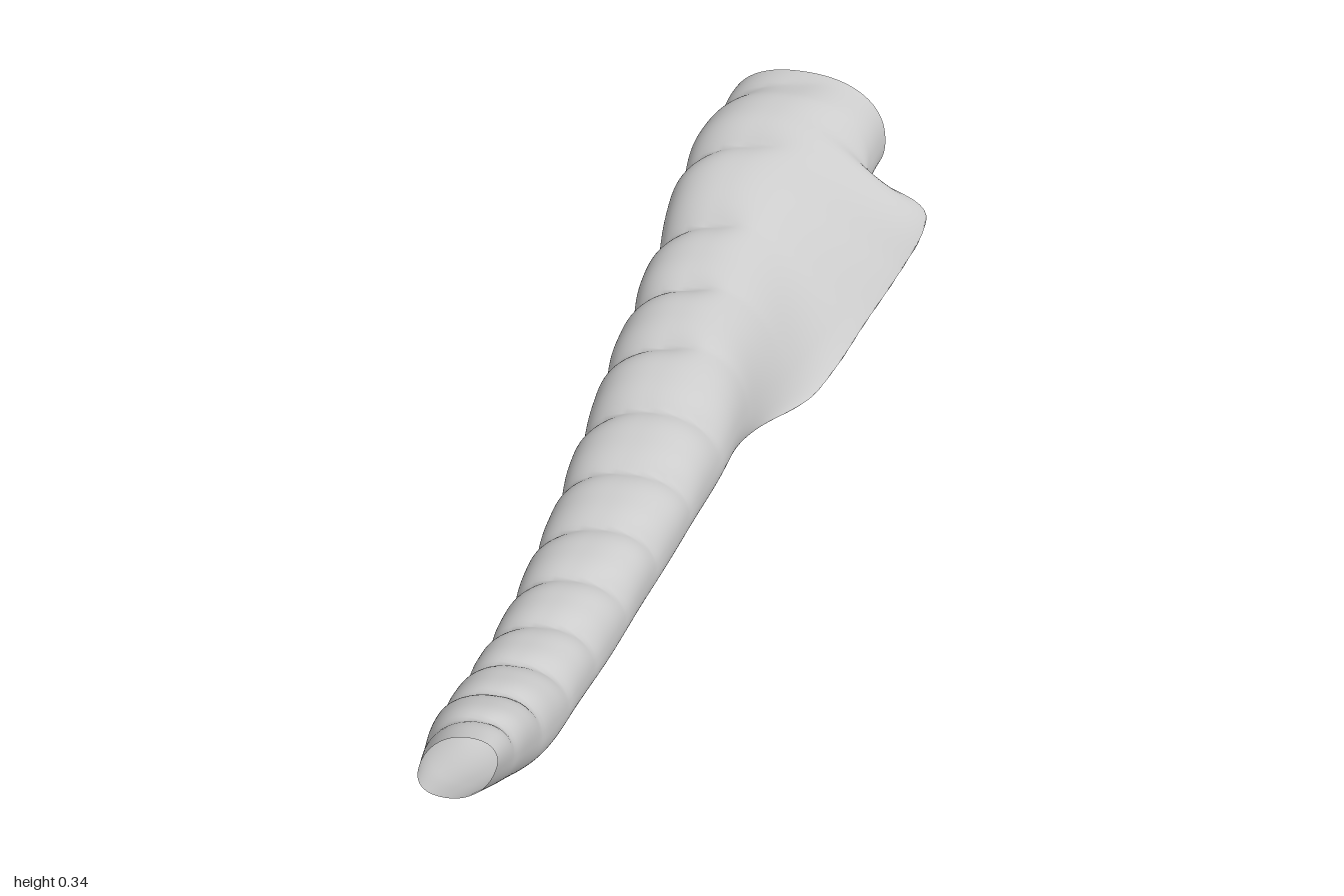
import * as THREE from 'three';

// Smooth lookup through [z, a, b, ...] rows sorted by falling z
function sample(rows, z) {
  const n = rows.length;
  let i = 0;
  while (i < n - 2 && z < rows[i + 1][0]) i++;
  const a = rows[i], b = rows[i + 1], h = b[0] - a[0];
  const t = THREE.MathUtils.clamp((z - a[0]) / h, 0, 1);
  const slope = (k, c) => {
    const p = rows[Math.max(k - 1, 0)], q = rows[Math.min(k + 1, n - 1)];
    return (q[c] - p[c]) / (q[0] - p[0]);
  };
  return a.slice(1).map((v, j) => {
    const c = j + 1, t2 = t * t, t3 = t2 * t;
    return v * (2 * t3 - 3 * t2 + 1) + slope(i, c) * h * (t3 - 2 * t2 + t)
      + b[c] * (3 * t2 - 2 * t3) + slope(i + 1, c) * h * (t3 - t2);
  });
}

// Tube outline: z, left, right, bottom, top, sideways lean
const BODY = [
  [1.0, -0.108, 0.004, 0.212, 0.336, 0.4],
  [0.9, -0.135, 0.008, 0.155, 0.308, 0.2],
  [0.75, -0.152, 0.01, 0.082, 0.25, 0.05],
  [0.6, -0.158, 0.01, 0.055, 0.21, 0],
  [0.4, -0.167, 0.018, 0.033, 0.193, 0],
  [0.2, -0.178, 0.03, 0.024, 0.195, 0],
  [0.0, -0.192, 0.042, 0.02, 0.212, -0.05],
  [-0.2, -0.204, 0.045, 0.012, 0.238, -0.12],
  [-0.42, -0.21, 0.04, 0.008, 0.253, -0.2],
  [-0.57, -0.217, 0.035, 0.034, 0.27, -0.2],
  [-0.68, -0.224, 0.04, 0.07, 0.305, -0.2],
  [-0.8, -0.224, 0.06, 0.108, 0.34, -0.15],
  [-0.9, -0.218, 0.088, 0.115, 0.346, -0.1],
  [-1.0, -0.205, 0.095, 0.117, 0.345, -0.08],
];

// Rim of the side flap: z, x, y, strength
const FLAP = [
  [-0.15, 0.045, 0.07, 0],
  [-0.28, 0.055, 0.035, 0.7],
  [-0.42, 0.1, 0.015, 1],
  [-0.52, 0.133, 0.035, 1],
  [-0.6, 0.16, 0.075, 1],
  [-0.7, 0.203, 0.14, 1],
  [-0.77, 0.226, 0.188, 1],
  [-0.82, 0.205, 0.21, 1],
  [-0.86, 0.11, 0.225, 0.9],
  [-0.91, 0.096, 0.23, 0],
];

function ringPoint(z, angle) {
  const [l, r, b, t, lean] = sample(BODY, z);
  const cx = (l + r) / 2, cy = (b + t) / 2, rx = (r - l) / 2, ry = (t - b) / 2;
  const c = Math.cos(angle), s = Math.sin(angle), e = 0.88;

  // Transverse creases, strongest on top, fading below and towards the flap
  const phase = Math.log(1 + 0.39 * (1 - z)) / 0.045 - 0.15 * c + 0.35;
  const crease = Math.pow(1 - Math.abs(Math.sin(Math.PI * phase)), 1.6);
  const besideFlap = THREE.MathUtils.smoothstep(c, -0.1, 0.5)
    * THREE.MathUtils.smoothstep(-z, 0, 0.3);
  const weight = THREE.MathUtils.smoothstep(s, -0.4, 0.9) * (1 - 0.85 * besideFlap);
  const ends = Math.min(1, (1 - Math.abs(z)) / 0.08);
  const k = 1 - crease * weight * ends * 0.17
    + 0.012 * Math.sin(3 * angle + 7 * z) * Math.sin(17 * z) * ends;

  let x = cx + rx * k * Math.sign(c) * Math.abs(c) ** e;
  let y = cy + ry * k * Math.sign(s) * Math.abs(s) ** e;
  x += lean * (y - cy);

  // Pull the wall out into the flap
  if (z < -0.15 && z > -0.91) {
    const [fx, fy, strength] = sample(FLAP, z);
    const mid = Math.atan2((fy - cy) / ry, (fx - cx) / rx);
    let d = angle - mid;
    d = Math.atan2(Math.sin(d), Math.cos(d));
    const w = strength * Math.exp(-(Math.abs(d / (d > 0 ? 0.7 : 0.55)) ** 1.6));
    x += (fx - x) * w;
    y += (fy - y) * w;
  }
  return [x, Math.max(y, 0), z];
}

export function createModel() {
  const group = new THREE.Group();
  group.name = 'pleatedTube';
  const rings = 220, sides = 128, pos = [], index = [];

  for (let i = 0; i <= rings; i++)
    for (let j = 0; j < sides; j++)
      pos.push(...ringPoint(1 - (2 * i) / rings, (j / sides) * Math.PI * 2));

  for (let i = 0; i < rings; i++)
    for (let j = 0; j < sides; j++) {
      const a = i * sides + j, b = i * sides + (j + 1) % sides;
      index.push(a, a + sides, b, b, a + sides, b + sides);
    }

  const geo = new THREE.BufferGeometry();
  geo.setAttribute('position', new THREE.Float32BufferAttribute(pos, 3));
  geo.setIndex(index);
  geo.computeVertexNormals();

  // Thin wall, open at both ends
  const wall = new THREE.Mesh(geo, new THREE.MeshStandardMaterial({
    color: 0xcccccc, side: THREE.DoubleSide,
  }));
  wall.name = 'tubeWall';
  group.add(wall);
  return group;
}
